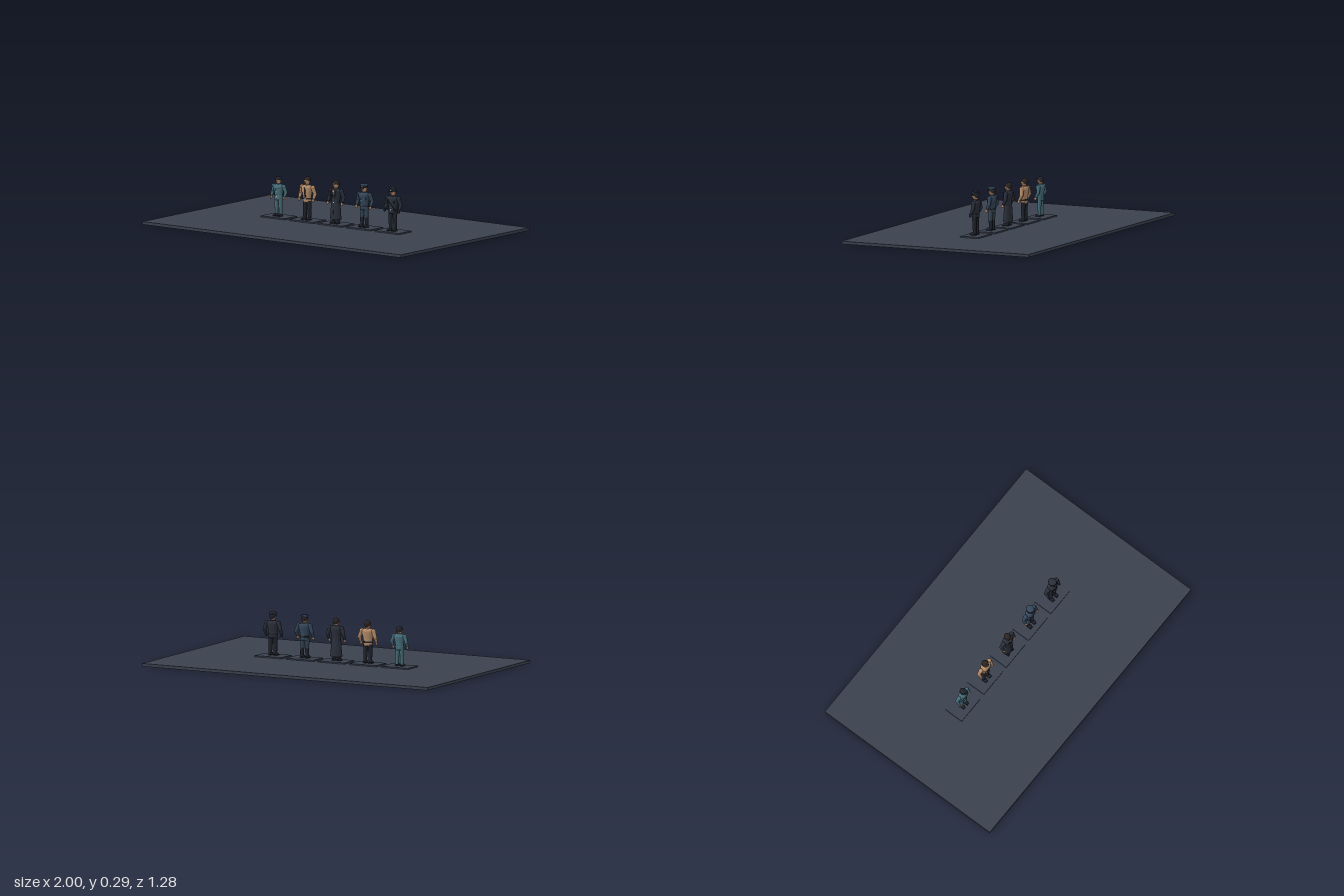
import * as THREE from 'three';

const mat = (name, color) => {
  const m = new THREE.MeshStandardMaterial({ color });
  m.name = name;
  return m;
};

export function createModel() {
  const floorGrey = mat('floorGrey', 0x3a414e);
  const black = mat('black', 0x20242d);
  const charcoal = mat('charcoal', 0x2a2f3a);
  const teal = mat('teal', 0x48707c);
  const tan = mat('tan', 0xb58c69);
  const skin = mat('skin', 0xc4926f);
  const navy = mat('navy', 0x35475a);
  const hair = mat('hairBrown', 0x2b2422);
  const pale = mat('pale', 0xb9bcc0);
  charcoal.side = THREE.DoubleSide; // the coat skirt is open below

  const add = (parent, name, geo, material, x = 0, y = 0, z = 0) => {
    const mesh = new THREE.Mesh(geo, material);
    mesh.name = name;
    mesh.position.set(x, y, z);
    parent.add(mesh);
    return mesh;
  };
  const box = (parent, name, w, h, d, material, x, y, z) =>
    add(parent, name, new THREE.BoxGeometry(w, h, d), material, x, y, z);
  const ball = (parent, name, rx, ry, rz, material, x, y, z) =>
    add(parent, name, new THREE.SphereGeometry(1, 16, 12).scale(rx, ry, rz), material, x, y, z);
  // Rounded, flattened body of revolution from [radius, height] pairs
  const turned = (parent, name, profile, depth, material) =>
    add(parent, name, new THREE.LatheGeometry(profile.map(p => new THREE.Vector2(...p)), 20).scale(1, 1, depth), material);
  // Tapered limb between two points
  const limb = (parent, name, a, b, ra, rb, material) => {
    const from = new THREE.Vector3(...a), to = new THREE.Vector3(...b);
    const dir = to.clone().sub(from);
    const mesh = add(parent, name, new THREE.CylinderGeometry(rb, ra, dir.length(), 12), material);
    mesh.position.copy(from).addScaledVector(dir, 0.5);
    mesh.quaternion.setFromUnitVectors(new THREE.Vector3(0, 1, 0), dir.normalize());
  };

  // One standing figure, feet at y = 0, about 0.267 tall
  function figure(o) {
    const g = new THREE.Group();
    g.name = o.name;
    for (const s of [1, -1]) {
      const side = s > 0 ? 'left' : 'right';
      // Legs and boots
      limb(g, side + 'Thigh', [s * 0.015, 0.118, 0], [s * 0.017, 0.062, 0.001], 0.0155, 0.0125, o.trousers);
      limb(g, side + 'Shin', [s * 0.017, 0.064, 0.001], [s * 0.018, 0.012, -0.002], 0.0125, 0.0105, o.boots ?? o.trousers);
      ball(g, side + 'Boot', 0.0115, 0.009, 0.02, black, s * 0.0185, 0.009, 0.008);
      box(g, side + 'Sole', 0.021, 0.004, 0.038, black, s * 0.0185, 0.002, 0.008);
      // Arms bowed out from the shoulders
      const shoulder = [s * 0.041, 0.2, -0.003], elbow = [s * 0.055, 0.163, -0.008], wrist = [s * 0.055, 0.134, 0.007];
      ball(g, side + 'Shoulder', 0.0145, 0.0145, 0.015, o.coat, ...shoulder);
      limb(g, side + 'UpperArm', shoulder, elbow, 0.0135, 0.011, o.coat);
      ball(g, side + 'Elbow', 0.011, 0.011, 0.011, o.coat, ...elbow);
      limb(g, side + 'Forearm', elbow, wrist, 0.011, 0.0085, o.coat);
      ball(g, side + 'Hand', 0.0075, 0.011, 0.009, o.hands ?? skin, s * 0.054, 0.124, 0.011);
      // Ears and eyes
      ball(g, side + 'Ear', 0.003, 0.006, 0.004, skin, s * 0.0185, 0.238, -0.001);
      box(g, side + 'Eye', 0.005, 0.003, 0.002, black, s * 0.0075, 0.241, 0.0188);
    }
    // Torso, belt, neck
    turned(g, 'torso', [[0, 0.105], [0.029, 0.108], [0.031, 0.122], [0.029, 0.14], [0.035, 0.17],
      [0.042, 0.193], [0.04, 0.205], [0.026, 0.214], [0, 0.217]], 0.62, o.coat);
    turned(g, 'belt', [[0.0305, 0.127], [0.0325, 0.128], [0.0325, 0.136], [0.0305, 0.137]], 0.64, o.belt ?? black);
    box(g, 'buckle', 0.009, 0.007, 0.002, pale, 0, 0.132, 0.0213);
    limb(g, 'neck', [0, 0.208, 0], [0, 0.226, 0], 0.011, 0.01, skin);
    limb(g, 'collar', [0, 0.207, 0], [0, 0.218, 0], 0.017, 0.0135, o.coat);
    // Head
    ball(g, 'head', 0.0185, 0.0235, 0.02, skin, 0, 0.239, 0);
    ball(g, 'nose', 0.003, 0.005, 0.0045, skin, 0, 0.236, 0.02);
    box(g, 'mouth', 0.008, 0.0015, 0.002, hair, 0, 0.2275, 0.0174);
    return g;
  }

  // Hair, tilted back off the face
  const addHair = (g, material) => {
    const cap = add(g, 'hair', new THREE.SphereGeometry(1, 18, 10, 0, Math.PI * 2, 0, Math.PI * 0.56)
      .scale(0.0205, 0.0255, 0.022), material, 0, 0.241, -0.002);
    cap.rotation.x = -0.5;
  };
  // Service cap with a crown, band and visor
  const addCap = (g, crown, band) => {
    turned(g, 'capBand', [[0.0195, 0.246], [0.0215, 0.247], [0.0215, 0.255], [0.0195, 0.256]], 1.05, band);
    turned(g, 'capCrown', [[0.021, 0.254], [0.0255, 0.26], [0.023, 0.266], [0, 0.269]], 1.05, crown);
    const visor = add(g, 'capVisor', new THREE.CylinderGeometry(0.018, 0.018, 0.003, 16), black, 0, 0.2475, 0.014);
    visor.rotation.x = 0.2;
    box(g, 'capBadge', 0.005, 0.005, 0.002, pale, 0, 0.2515, 0.0225);
  };
  // Chest pockets and a front button line
  const addTunic = (g, material) => {
    for (const s of [1, -1]) {
      const pocket = box(g, 'chestPocket', 0.017, 0.015, 0.003, material, s * 0.018, 0.18, 0.0215);
      pocket.rotation.y = s * 0.3;
    }
    for (let i = 0; i < 3; i++) ball(g, 'button', 0.0018, 0.0018, 0.0015, pale, 0, 0.148 + i * 0.017, 0.021 + i * 0.0022);
  };

  // Mechanic in teal overalls, a little shorter
  const mechanic = figure({ name: 'tealMechanic', coat: teal, trousers: teal, belt: teal });
  addHair(mechanic, hair);
  turned(mechanic, 'softCap', [[0.021, 0.249], [0.0215, 0.256], [0.016, 0.263], [0, 0.266]], 1.08, black);
  box(mechanic, 'softCapPeak', 0.026, 0.003, 0.014, black, 0, 0.25, 0.023);
  addTunic(mechanic, teal);
  mechanic.scale.setScalar(0.92);

  // Bareheaded man in an open tan jacket
  const jacketMan = figure({ name: 'tanJacketMan', coat: tan, trousers: black });
  addHair(jacketMan, hair);
  addTunic(jacketMan, tan);
  box(jacketMan, 'shirtFront', 0.009, 0.062, 0.004, hair, 0, 0.17, 0.0232).rotation.x = 0.1;

  // Elder in a long dark coat
  const elder = figure({ name: 'longCoatElder', coat: charcoal, trousers: black });
  turned(elder, 'coatSkirt', [[0.036, 0.024], [0.04, 0.026], [0.036, 0.07], [0.032, 0.12], [0.03, 0.14]], 0.7, charcoal);
  box(elder, 'coatOpening', 0.002, 0.09, 0.003, black, 0, 0.077, 0.025).rotation.x = -0.055;
  addHair(elder, hair);
  box(elder, 'glasses', 0.027, 0.002, 0.003, black, 0, 0.244, 0.0192);
  for (const s of [1, -1]) {
    const lapel = box(elder, 'lapel', 0.01, 0.045, 0.003, black, s * 0.012, 0.184, 0.0245);
    lapel.rotation.z = -s * 0.25;
  }
  box(elder, 'shirtFront', 0.011, 0.022, 0.004, skin, 0, 0.198, 0.0235);

  // Officer in navy with a service cap
  const officer = figure({ name: 'navyOfficer', coat: navy, trousers: navy, boots: black });
  addHair(officer, hair);
  addCap(officer, navy, black);
  addTunic(officer, navy);

  // Guard in black with gloves and cap
  const guard = figure({ name: 'blackGuard', coat: charcoal, trousers: black, hands: black });
  addHair(guard, black);
  addCap(guard, charcoal, black);
  addTunic(guard, black);
  limb(guard, 'chestStrap', [-0.028, 0.196, 0.021], [0.024, 0.138, 0.02], 0.003, 0.003, black);

  // Floor with a row of plinths and figures
  const model = new THREE.Group();
  model.name = 'figureDisplay';
  box(model, 'floor', 2, 0.018, 1.276, floorGrey, 0, 0.009, 0);
  [mechanic, jacketMan, elder, officer, guard].forEach((f, i) => {
    const x = -0.002 + (i - 2) * 0.2215;
    box(model, 'plinth', 0.187, 0.008, 0.126, floorGrey, x, 0.022, -0.002);
    f.position.set(x, 0.026, 0);
    model.add(f);
  });
  return model;
}
